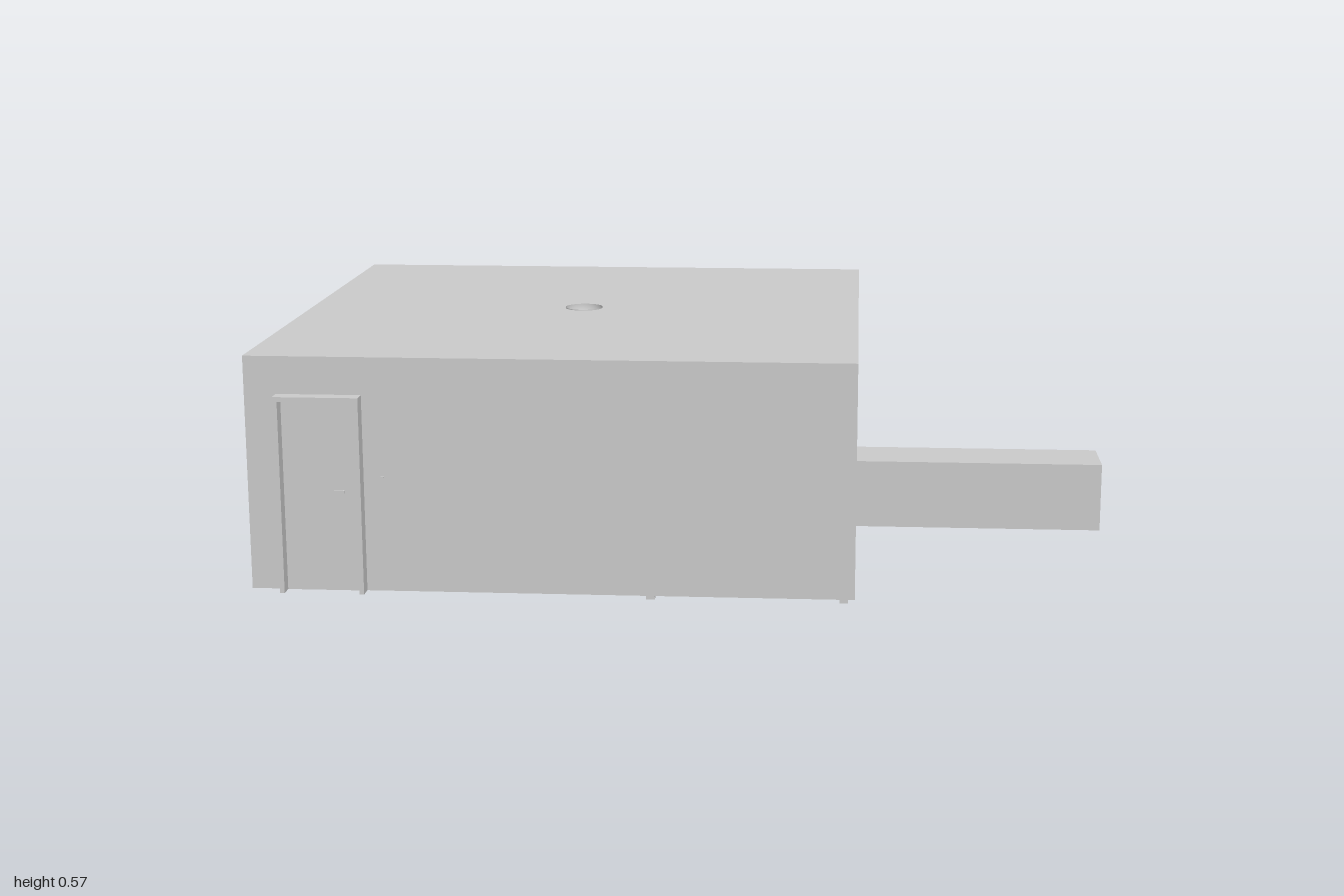
import * as THREE from 'three';

const material = new THREE.MeshStandardMaterial({ color: 0xcccccc, side: THREE.DoubleSide, flatShading: true });
const smooth = new THREE.MeshStandardMaterial({ color: 0xcccccc, side: THREE.DoubleSide });

// Room and duct extents
const X0 = -1, X1 = 0.385, Y0 = 0.02, Y1 = 0.565, Z0 = -0.71, Z1 = 0.675;
const DUCT = { z0: -0.12, z1: 0.04, top: 0.19, end: 1 };
const LAMP = { x: -0.31, z: -0.02, r: 0.047 };

function add(parent, name, geometry, mat = material) {
  const mesh = new THREE.Mesh(geometry, mat);
  mesh.name = name;
  parent.add(mesh);
  return mesh;
}

// Box given by its two opposite corners
function box(parent, name, x0, x1, y0, y1, z0, z1) {
  const mesh = add(parent, name, new THREE.BoxGeometry(x1 - x0, y1 - y0, z1 - z0));
  mesh.position.set((x0 + x1) / 2, (y0 + y1) / 2, (z0 + z1) / 2);
  return mesh;
}

function rectangle(Type, a0, a1, b0, b1) {
  return new Type([[a0, b0], [a1, b0], [a1, b1], [a0, b1]].map(([a, b]) => new THREE.Vector2(a, b)));
}

// Flat panels facing along z, x or y
function panelZ(parent, name, x0, x1, y0, y1, z, back) {
  const mesh = add(parent, name, new THREE.PlaneGeometry(x1 - x0, y1 - y0));
  mesh.position.set((x0 + x1) / 2, (y0 + y1) / 2, z);
  if (back) mesh.rotation.y = Math.PI;
}

function panelY(parent, name, x0, x1, z0, z1, y, down) {
  const mesh = add(parent, name, new THREE.PlaneGeometry(x1 - x0, z1 - z0));
  mesh.position.set((x0 + x1) / 2, y, (z0 + z1) / 2);
  mesh.rotation.x = down ? Math.PI / 2 : -Math.PI / 2;
}

// Table whose feet reach slightly through the floor
function table(parent, name, x0, x1, z0, z1, height) {
  const group = new THREE.Group();
  group.name = name;
  const h = 0.01;
  for (const x of [x0, x1])
    for (const z of [z0, z1])
      box(group, 'tableLeg', x - h, x + h, 0.01, height, z - h, z + h);
  box(group, 'tableTop', x0 - h, x1 + h, height, height + 0.015, z0 - h, z1 + h);
  parent.add(group);
}

export function createModel() {
  const model = new THREE.Group();
  model.name = 'room';

  // Walls and floor
  panelZ(model, 'frontWall', X0, X1, Y0, Y1, Z1, false);
  panelZ(model, 'backWall', X0, X1, Y0, Y1, Z0, true);
  panelY(model, 'floor', X0, X1, Z0, Z1, Y0, true);
  const rightWall = add(model, 'rightWall', new THREE.PlaneGeometry(Z1 - Z0, Y1 - Y0));
  rightWall.position.set(X0, (Y0 + Y1) / 2, (Z0 + Z1) / 2);
  rightWall.rotation.y = -Math.PI / 2;

  // Left wall with the opening into the duct (shape x runs along -z)
  const wall = new THREE.Shape([
    [-Z1, Y0], [-DUCT.z1, Y0], [-DUCT.z1, DUCT.top], [-DUCT.z0, DUCT.top],
    [-DUCT.z0, Y0], [-Z0, Y0], [-Z0, Y1], [-Z1, Y1],
  ].map(([a, b]) => new THREE.Vector2(a, b)));
  const leftWall = add(model, 'leftWall', new THREE.ShapeGeometry(wall));
  leftWall.rotation.y = Math.PI / 2;
  leftWall.position.x = X1;

  // Roof with a round hole
  const roofShape = rectangle(THREE.Shape, X0, X1, -Z1, -Z0);
  const hole = new THREE.Path();
  hole.absarc(LAMP.x, -LAMP.z, LAMP.r, 0, Math.PI * 2, true);
  roofShape.holes.push(hole);
  const roof = add(model, 'roof', new THREE.ShapeGeometry(roofShape, 32));
  roof.rotation.x = -Math.PI / 2;
  roof.position.y = Y1;

  // Bowl lamp sunk into the roof
  const lamp = add(model, 'ceilingLamp',
    new THREE.SphereGeometry(LAMP.r, 32, 12, 0, Math.PI * 2, Math.PI / 2, Math.PI / 2), smooth);
  lamp.position.set(LAMP.x, Y1 + 0.002, LAMP.z);

  // Open-ended duct
  const duct = new THREE.Group();
  duct.name = 'duct';
  panelZ(duct, 'ductFront', X1, DUCT.end, Y0, DUCT.top, DUCT.z1, false);
  panelZ(duct, 'ductBack', X1, DUCT.end, Y0, DUCT.top, DUCT.z0, true);
  panelY(duct, 'ductTop', X1, DUCT.end, DUCT.z0, DUCT.z1, DUCT.top, false);
  panelY(duct, 'ductFloor', X1, DUCT.end, DUCT.z0, DUCT.z1, Y0, true);
  model.add(duct);

  // Door frame standing proud of the front wall
  const door = new THREE.Group();
  door.name = 'door';
  const dx0 = -0.927, dx1 = -0.732, top = 0.478, t = 0.011;
  for (const x of [dx0, dx1 - t]) box(door, 'doorPost', x, x + t, Y0, top, Z1 - 0.01, 0.71);
  box(door, 'doorLintel', dx0, dx1, top - t, top, Z1 - 0.01, 0.71);
  box(door, 'doorPanel', dx0 + t, dx1 - t, Y0, top - t, Z1 - 0.01, Z1 + 0.003);
  box(door, 'doorHandle', -0.80, -0.775, 0.25, 0.257, Z1, Z1 + 0.008);
  model.add(door);
  box(model, 'doorSwitch', -0.695, -0.685, 0.275, 0.29, Z1 - 0.004, Z1 + 0.003);

  // Small fixings showing through the back wall
  for (const [x, y] of [[-0.29, 0.37], [-0.31, 0.315], [-0.37, 0.33], [-0.25, 0.21], [-0.31, 0.2]])
    box(model, 'wallFixing', x - 0.005, x + 0.005, y - 0.006, y + 0.006, Z0 - 0.003, Z0 + 0.004);

  // Furniture inside
  table(model, 'frontTable', -0.08, 0.36, 0.455, 0.66, 0.2);
  table(model, 'backTable', -0.535, -0.1, -0.675, -0.47, 0.2);
  table(model, 'sideTable', -0.7, -0.557, -0.68, -0.245, 0.2);
  box(model, 'backBoard', -0.05, 0.36, 0, 0.2, -0.6, -0.59);

  return model;
}
